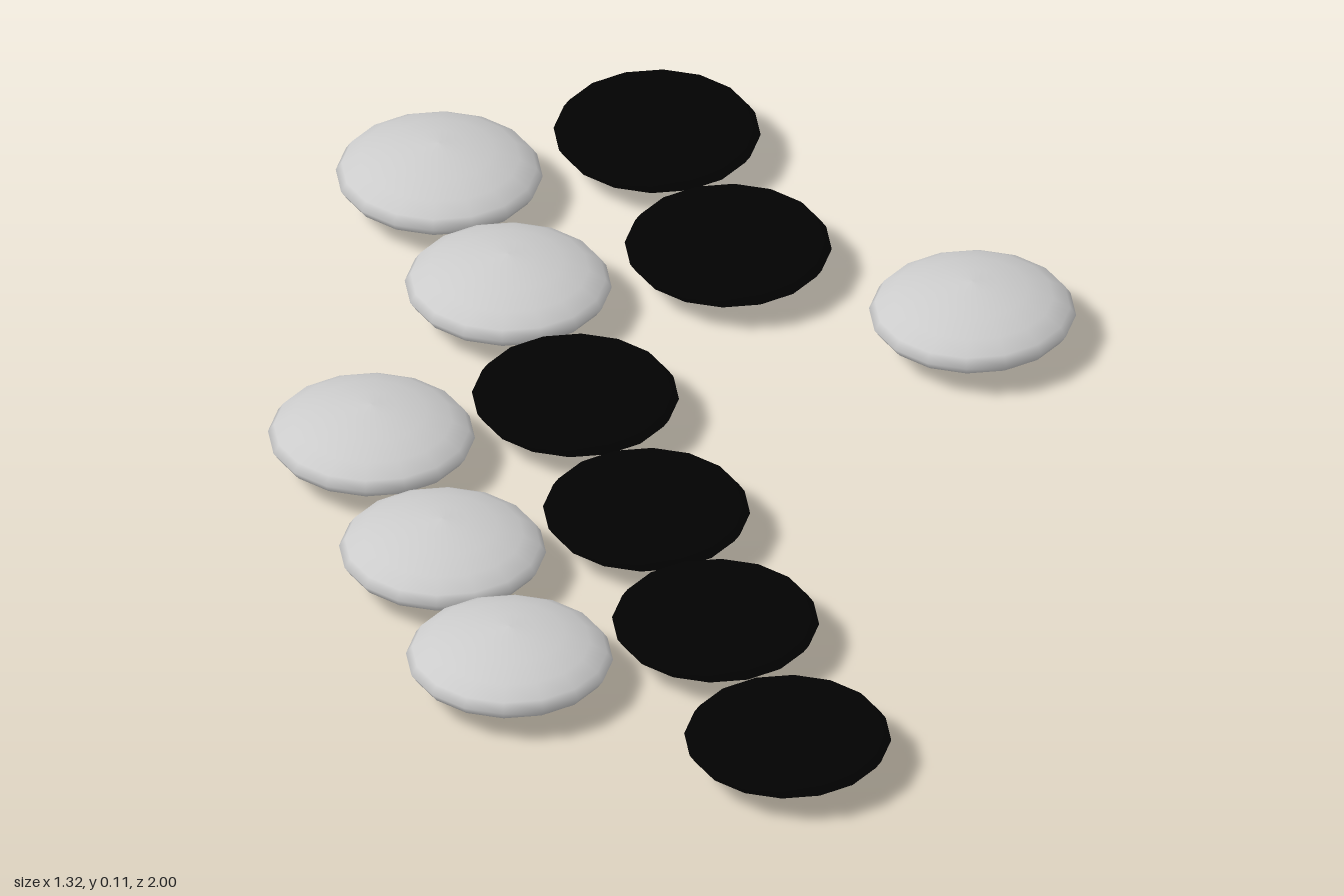
import * as THREE from 'three';

const RADIUS = 0.162, HALF = 0.057, SIDES = 16, STEPS = 10;

// Lens-shaped stone: a softly rimmed profile turned about y
function stoneGeometry() {
  const profile = [];
  const power = 1.7;
  for (let i = 0; i <= STEPS; i++) {
    const a = -Math.PI / 2 + (Math.PI * i) / STEPS;
    const c = Math.max(0, Math.cos(a)), s = Math.sin(a);
    const r = i === 0 || i === STEPS ? 0 : RADIUS * Math.pow(c, 2 / power);
    const y = HALF * Math.sign(s) * Math.pow(Math.abs(s), 2 / power);
    profile.push(new THREE.Vector2(r, y));
  }
  return new THREE.LatheGeometry(profile, SIDES);
}

export function createModel() {
  const model = new THREE.Group();
  model.name = 'boardStones';
  const geometry = stoneGeometry();

  // Stone centres as [x, z]
  const sets = [
    {
      name: 'lightStone', color: 0xcccccc,
      spots: [[-0.16, -0.84], [-0.16, -0.51], [-0.5, -0.18], [-0.5, 0.16], [-0.5, 0.48], [0.5, -0.2]],
    },
    {
      name: 'darkStone', color: 0x020202,
      spots: [[0.2, -0.84], [0.2, -0.5], [-0.163, -0.18], [-0.163, 0.16], [-0.163, 0.49], [-0.163, 0.835]],
    },
  ];

  for (const { name, color, spots } of sets) {
    const material = new THREE.MeshStandardMaterial({ color });
    spots.forEach(([x, z], i) => {
      const stone = new THREE.Mesh(geometry, material);
      stone.name = name + (i + 1);
      stone.position.set(x, HALF, z);
      model.add(stone);
    });
  }
  return model;
}
